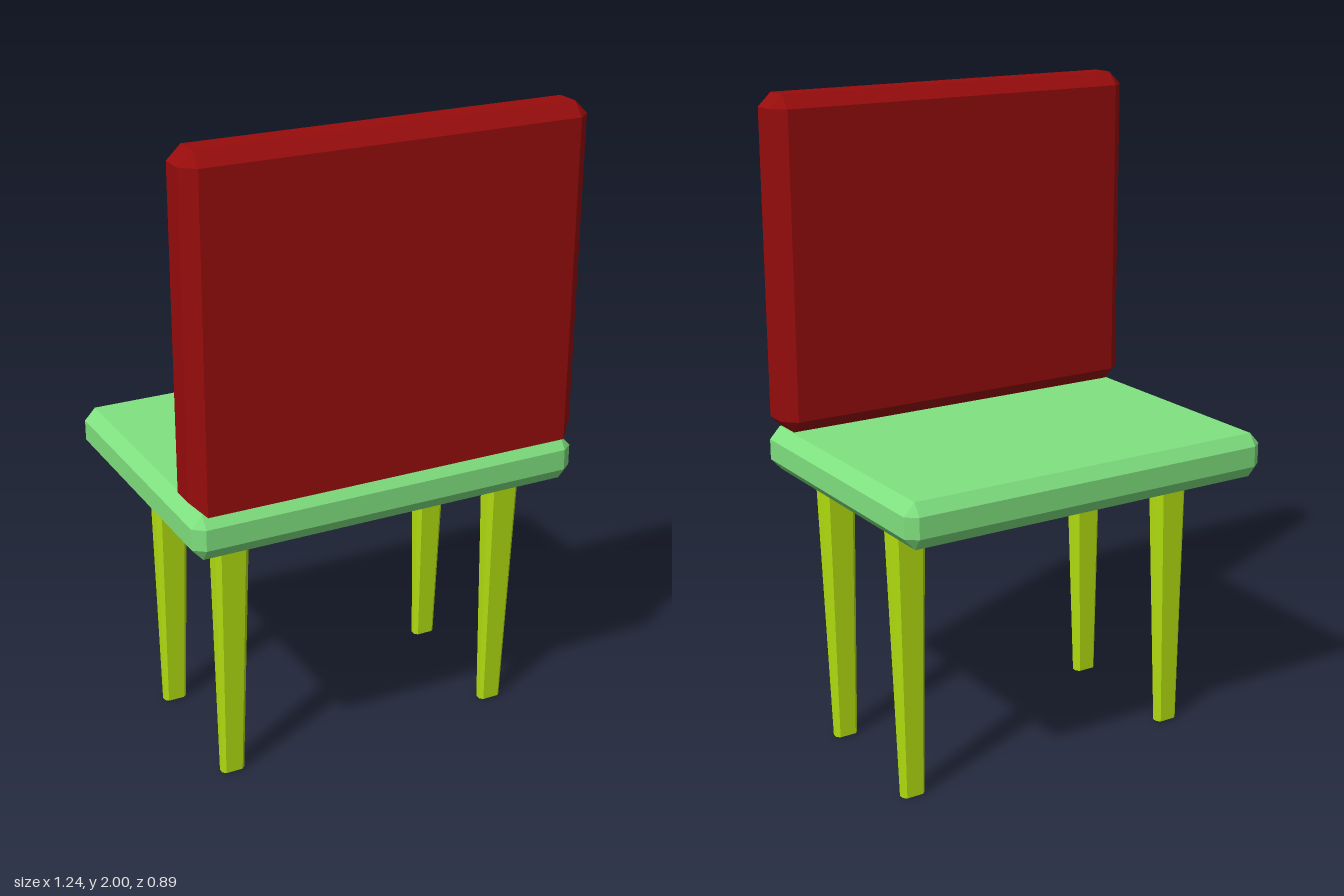
import * as THREE from 'three';
import { ConvexGeometry } from 'three/addons/geometries/ConvexGeometry.js';

const material = (color) => new THREE.MeshStandardMaterial({ color, flatShading: true });

// Box between two corners with every edge chamfered by bevel (x, y, z).
// With squareFoot the lower edge on the +z side stays sharp.
function chamferedBox(min, max, bevel, squareFoot = false) {
  const points = [];
  for (const sx of [0, 1]) for (const sy of [0, 1]) for (const sz of [0, 1]) {
    const outer = [sx, sy, sz].map((s, i) => (s ? max[i] : min[i]));
    const inner = [sx, sy, sz].map((s, i) => (s ? max[i] - bevel[i] : min[i] + bevel[i]));
    const [ox, oy, oz] = outer;
    const [ix, iy, iz] = inner;
    const sharp = squareFoot && !sy && sz;
    points.push(
      new THREE.Vector3(ox, iy, iz),
      new THREE.Vector3(ix, oy, iz),
      new THREE.Vector3(ix, sharp ? oy : iy, oz),
    );
  }
  return new ConvexGeometry(points);
}

// Tapered leg with cut corners; its -z face is upright and its +z face slopes in.
function legGeometry() {
  const points = [];
  const sections = [
    { y: 0, halfWidth: 0.037, depth: 0.037, cut: 0.01 },
    { y: 0.852, halfWidth: 0.055, depth: 0.072, cut: 0.015 },
  ];
  for (const { y, halfWidth: w, depth: d, cut: c } of sections) {
    for (const s of [-1, 1]) {
      points.push(
        new THREE.Vector3(s * w, y, c),
        new THREE.Vector3(s * w, y, d - c),
        new THREE.Vector3(s * (w - c), y, 0),
        new THREE.Vector3(s * (w - c), y, d),
      );
    }
  }
  return new ConvexGeometry(points);
}

export function createModel() {
  const model = new THREE.Group();
  model.name = 'chair';

  const add = (name, geometry, mat, x = 0, y = 0, z = 0) => {
    const mesh = new THREE.Mesh(geometry, mat);
    mesh.name = name;
    mesh.position.set(x, y, z);
    model.add(mesh);
  };

  // Seat slab
  add('seat',
    chamferedBox([-0.618, 0.847, -0.443], [0.618, 0.985, 0.443], [0.034, 0.037, 0.026]),
    material(0x80e280));

  // Upright panel standing on the +z edge of the seat
  add('backrest',
    chamferedBox([-0.619, 0.985, 0.295], [0.619, 2, 0.442], [0.042, 0.04, 0.037], true),
    material(0x980c0c));

  // Four legs, all tapering the same way
  const leg = legGeometry();
  const green = material(0xb4e010);
  add('legBackRight', leg, green, -0.43, 0, 0.208);
  add('legBackLeft', leg, green, 0.487, 0, 0.208);
  add('legFrontRight', leg, green, -0.43, 0, -0.248);
  add('legFrontLeft', leg, green, 0.503, 0, -0.248);

  return model;
}
